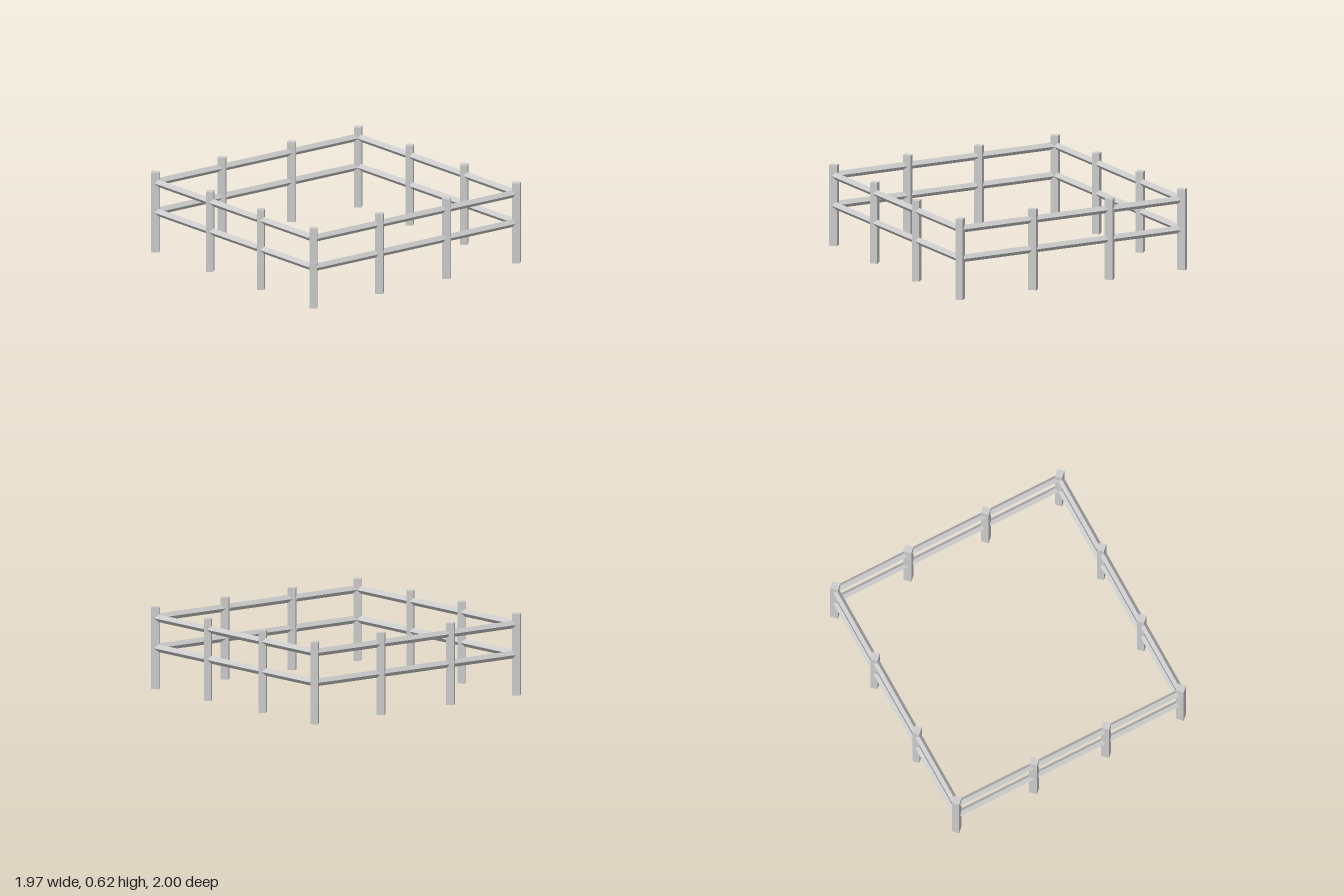
import * as THREE from 'three';

const material = new THREE.MeshStandardMaterial({ color: 0xcccccc, flatShading: true });
const POST_HEIGHT = 0.615;
const RAIL_HEIGHTS = [0.308, 0.534];

// Each side runs left to right as seen from outside: distance from the centre,
// start of the first rail, the three posts, and the right end of each rail.
const SIDES = [
  { name: 'front', depth: 0.956, start: -0.945, posts: [-0.295, 0.31, 0.937], ends: [-0.303, 0.285, 0.908] },
  { name: 'left', depth: 0.94, start: -0.956, posts: [-0.335, 0.3, 0.959], ends: [-0.368, 0.268, 0.928] },
  { name: 'back', depth: 0.959, start: -0.94, posts: [-0.32, 0.33, 0.945], ends: [-0.348, 0.302, 0.917] },
  { name: 'right', depth: 0.944, start: -0.959, posts: [-0.33, 0.33, 0.956], ends: [-0.36, 0.3, 0.926] },
];

// Square timber set corner-on to the fence line
function makePost(x, z) {
  const post = new THREE.Mesh(new THREE.BoxGeometry(0.055, POST_HEIGHT, 0.061), material);
  post.rotation.y = Math.PI / 4;
  post.position.set(x, POST_HEIGHT / 2, z);
  post.name = 'post';
  return post;
}

// Four-sided rail with a ridge on top, lying along x
function makeRail(from, to, y, z) {
  const geometry = new THREE.CylinderGeometry(0.029, 0.029, to - from, 4);
  geometry.rotateZ(Math.PI / 2);
  geometry.scale(1, 1, 0.9);
  const rail = new THREE.Mesh(geometry, material);
  rail.position.set((from + to) / 2, y, z);
  rail.name = 'rail';
  return rail;
}

export function createModel() {
  const fence = new THREE.Group();
  fence.name = 'fence';

  SIDES.forEach(({ name, depth, start, posts, ends }, i) => {
    const side = new THREE.Group();
    side.name = name + 'Side';
    side.rotation.y = i * Math.PI / 2;
    posts.forEach((x, j) => {
      side.add(makePost(x, depth));
      // Rails begin just inside the previous post
      const from = (j === 0 ? start : posts[j - 1]) - 0.008;
      for (const y of RAIL_HEIGHTS) side.add(makeRail(from, ends[j], y, depth));
    });
    fence.add(side);
  });

  return fence;
}
